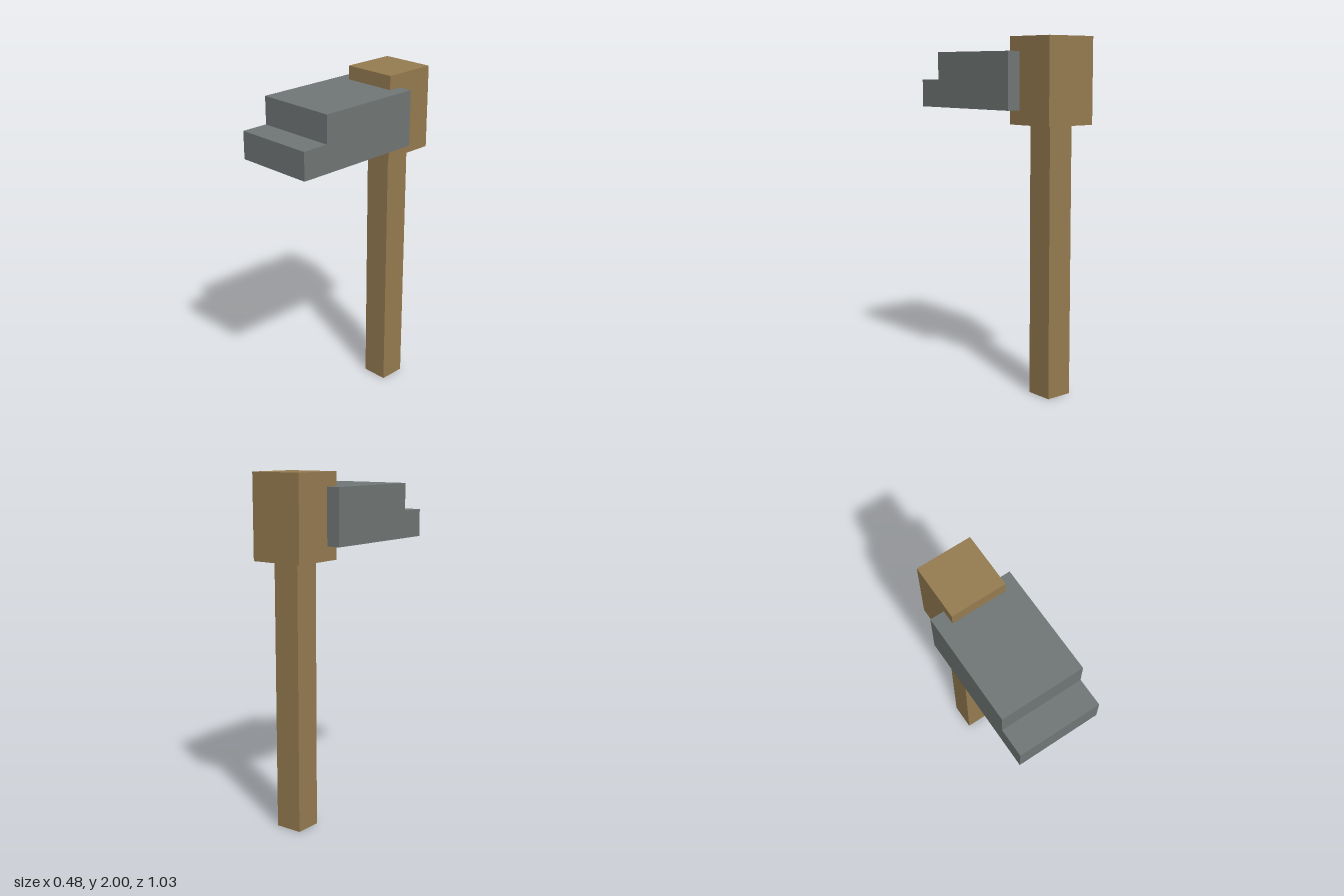
import * as THREE from 'three';

const wood = new THREE.MeshStandardMaterial({ name: 'wood', color: 0x967c51 });
const stone = new THREE.MeshStandardMaterial({ name: 'stone', color: 0x717776 });

// Box given by its width (centred on x) and its y and z ranges
function block(name, width, [y0, y1], [z0, z1], material) {
  const mesh = new THREE.Mesh(new THREE.BoxGeometry(width, y1 - y0, z1 - z0), material);
  mesh.position.set(0, (y0 + y1) / 2, (z0 + z1) / 2);
  mesh.name = name;
  return mesh;
}

export function createModel() {
  const model = new THREE.Group();
  model.name = 'hammer';

  // Wooden shaft and the block that holds the head
  model.add(block('handle', 0.159, [0, 1.524], [-0.437, -0.278], wood));
  model.add(block('headSocket', 0.317, [1.524, 2], [-0.516, -0.198], wood));

  // Stone head: stepped side profile (z, y) extruded across the width
  const width = 0.476;
  const profile = new THREE.Shape([
    [-0.278, 1.603], [0.516, 1.603], [0.516, 1.762],
    [0.357, 1.762], [0.357, 1.921], [-0.278, 1.921],
  ].map(([z, y]) => new THREE.Vector2(z, y)));
  const geometry = new THREE.ExtrudeGeometry(profile, { depth: width, bevelEnabled: false });
  geometry.translate(0, 0, -width / 2).rotateY(-Math.PI / 2);
  const head = new THREE.Mesh(geometry, stone);
  head.name = 'steppedHead';
  model.add(head);

  return model;
}
